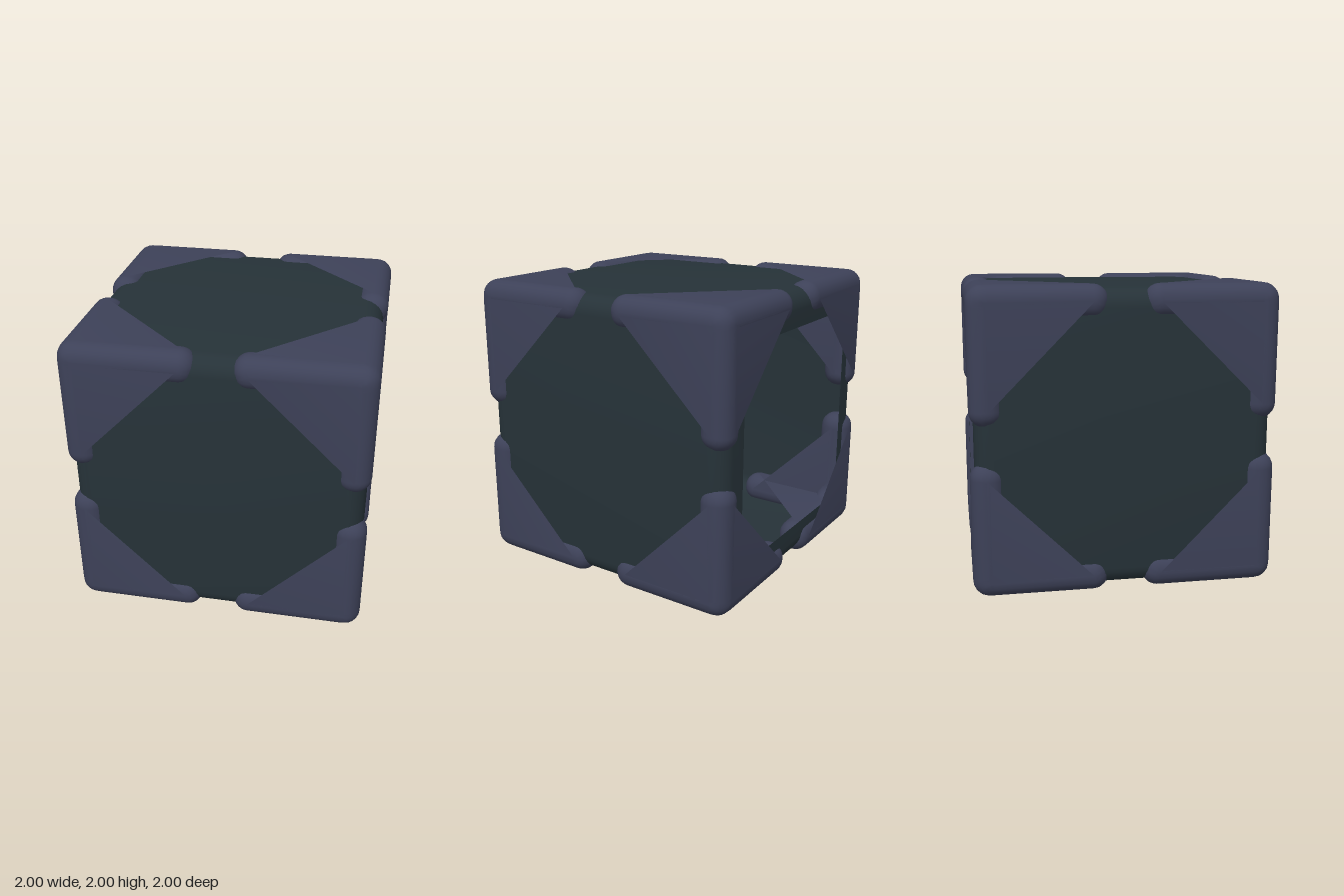
import * as THREE from 'three';
import { mergeGeometries, toCreasedNormals } from 'three/addons/utils/BufferGeometryUtils.js';

const shellMat = new THREE.MeshStandardMaterial({ name: 'dark teal', color: 0x263238, side: THREE.DoubleSide });
const bracketMat = new THREE.MeshStandardMaterial({ name: 'slate blue', color: 0x3d4158 });
const whiteMat = new THREE.MeshStandardMaterial({ name: 'white', color: 0xeeeeee });

// Hollow rounded cube built from rounded-square rings, open at the back
function shellGeometry() {
  const H = 0.97, R = 0.12, SEG = 6;
  const rings = [{ h: 0, r: 0, z: H }];
  for (let k = 0; k <= SEG; k++) {
    const a = (k / SEG) * Math.PI / 2;
    rings.push({ h: H - R + R * Math.sin(a), r: R * Math.sin(a), z: H - R + R * Math.cos(a) });
  }
  for (let k = SEG; k >= 0; k--) {
    const { h, r, z } = rings[k + 1];
    rings.push({ h, r, z: -z });
  }
  rings.push({ h: 0.73, r: 0.1, z: -H });

  const pos = [], index = [], n = 4 * (SEG + 1);
  for (const { h, r, z } of rings) {
    for (let c = 0; c < 4; c++) {
      const mid = Math.PI / 4 + c * Math.PI / 2;
      const cx = Math.sign(Math.cos(mid)) * (h - r), cy = Math.sign(Math.sin(mid)) * (h - r);
      for (let k = 0; k <= SEG; k++) {
        const a = (c + k / SEG) * Math.PI / 2;
        pos.push(cx + r * Math.cos(a), cy + r * Math.sin(a), z);
      }
    }
  }
  for (let j = 0; j < rings.length - 1; j++) {
    for (let i = 0; i < n; i++) {
      const a = j * n + i, b = j * n + (i + 1) % n;
      index.push(a, a + n, b, b, a + n, b + n);
    }
  }
  const g = new THREE.BufferGeometry();
  g.setAttribute('position', new THREE.Float32BufferAttribute(pos, 3));
  g.setIndex(index);
  return toCreasedNormals(g, 0.7);
}

// One soft L-shaped plate lying along two cube edges
function cornerPlate() {
  const lo = 0.78, end = 0.115, b = 0.1;
  const rOut = 0.13, rTip = 0.105, rIn = 0.11;
  const s = new THREE.Shape();
  s.moveTo(1, end + rTip);
  s.lineTo(1, 1 - rOut);
  s.quadraticCurveTo(1, 1, 1 - rOut, 1);
  s.lineTo(end + rTip, 1);
  s.absarc(end + rTip, 1 - rTip, rTip, Math.PI / 2, Math.PI, false);
  s.quadraticCurveTo(end, lo, end + 0.14, lo);
  s.lineTo(lo - rIn, lo);
  s.quadraticCurveTo(lo, lo, lo, lo - rIn);
  s.lineTo(lo, end + 0.14);
  s.quadraticCurveTo(lo, end, 1 - rTip, end);
  s.absarc(1 - rTip, end + rTip, rTip, -Math.PI / 2, 0, false);
  const g = new THREE.ExtrudeGeometry(s, {
    depth: 0.22 - 2 * b, bevelEnabled: true, bevelThickness: b, bevelSize: b,
    bevelOffset: -b, bevelSegments: 5, curveSegments: 6,
  });
  g.translate(0, 0, lo + b);
  g.deleteAttribute('uv');
  return toCreasedNormals(g, 0.8);
}

// Three plates, cycled through the axes, make one corner bracket
function bracketGeometry() {
  const cycle = new THREE.Matrix4().set(0, 0, 1, 0, 1, 0, 0, 0, 0, 1, 0, 0, 0, 0, 0, 1);
  const parts = [cornerPlate()];
  for (let i = 0; i < 2; i++) parts.push(parts[i].clone().applyMatrix4(cycle));
  return mergeGeometries(parts);
}

export function createModel() {
  const model = new THREE.Group();
  model.name = 'openCube';
  const body = new THREE.Group();
  body.name = 'body';
  body.position.y = 1;
  model.add(body);

  const shell = new THREE.Mesh(shellGeometry(), shellMat);
  shell.name = 'shell';
  body.add(shell);

  // Eight corner brackets
  const bracket = bracketGeometry();
  for (const flip of [0, Math.PI]) {
    for (let i = 0; i < 4; i++) {
      const m = new THREE.Mesh(bracket, bracketMat);
      m.name = flip ? 'lowerCornerBracket' : 'upperCornerBracket';
      m.rotation.set(flip, i * Math.PI / 2, 0);
      body.add(m);
    }
  }

  // White balls inside the cube
  const ball = new THREE.SphereGeometry(1, 32, 20);
  for (const [name, r, x, y, z] of [
    ['largeBall', 0.3, -0.19, 0.35, 0.28],
    ['upperSmallBall', 0.115, 0.17, -0.23, 0.28],
    ['lowerSmallBall', 0.115, 0.2, -0.5, 0.28],
  ]) {
    const m = new THREE.Mesh(ball, whiteMat);
    m.name = name;
    m.scale.setScalar(r);
    m.position.set(x, y, z);
    body.add(m);
  }
  return model;
}
